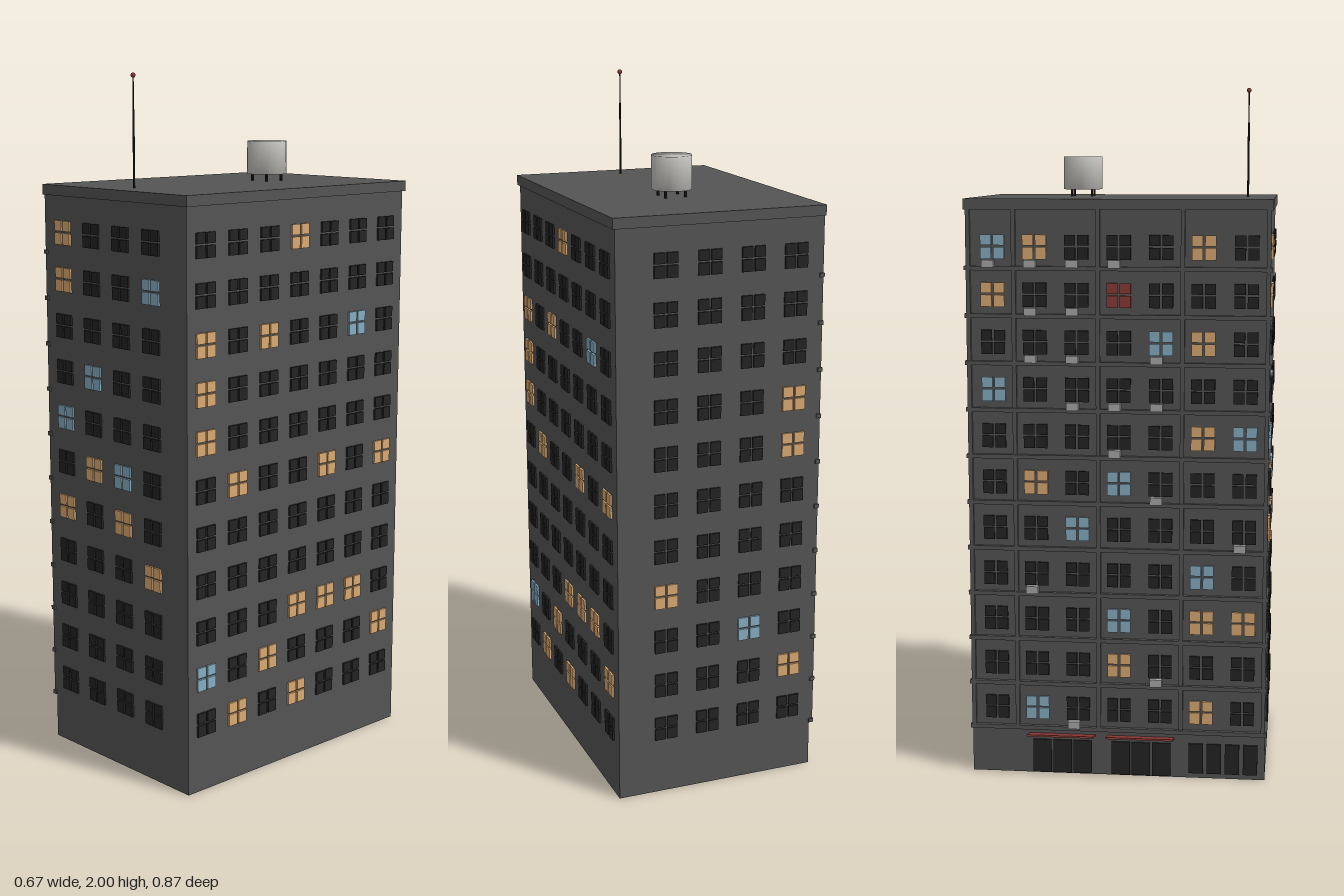
import * as THREE from 'three';
import { mergeGeometries, mergeVertices } from 'three/addons/utils/BufferGeometryUtils.js';

const material = (name, color) => {
  const m = new THREE.MeshStandardMaterial({ color });
  m.name = name;
  return m;
};

const ROWS = 11, TOP_ROW = 1.55, FLOOR = 0.135;
const BODY = { x0: -0.273, x1: 0.328, z: 0.431 };
const PILASTERS = [-0.425, -0.295, -0.055, 0.185, 0.425];
const rowY = r => TOP_ROW - r * FLOOR;

const box = (w, h, d, x, y, z) => new THREE.BoxGeometry(w, h, d).translate(x, y, z);

export function createModel() {
  const mats = {
    wall: material('wall grey', 0x545454),
    dark: material('dark glass', 0x232323),
    warm: material('warm lit glass', 0xd9a972),
    blue: material('blue lit glass', 0x86adc2),
    red: material('awning red', 0x8a3a36),
    tank: material('tank white', 0xc2c0bc),
    unit: material('unit grey', 0xa8a8a8),
    metal: material('black metal', 0x181818),
  };
  const model = new THREE.Group();
  model.name = 'apartmentBlock';

  const add = (name, geometry, mat, parent = model) => {
    const mesh = new THREE.Mesh(geometry, mat);
    mesh.name = name;
    parent.add(mesh);
    return mesh;
  };

  // Main block and roof slab
  const cx = (BODY.x0 + BODY.x1) / 2;
  add('building', box(BODY.x1 - BODY.x0, 1.66, BODY.z * 2, cx, 0.83, 0), mats.wall);
  add('roofSlab', box(0.617, 0.03, 0.874, 0.0265, 1.67, 0), mats.wall);

  // One wall of windows, seen in its own frame with the wall facing +z.
  // lit maps a glass colour to [row, column] pairs, counted from the top left.
  const windowWall = (name, angle, depth, cols, start, pitch, lit) => {
    const group = new THREE.Group();
    group.name = name;
    group.rotation.y = angle;
    model.add(group);
    const glass = new Map();
    for (const [key, list] of Object.entries(lit))
      for (const [r, c] of list) glass.set(r * cols + c, key);
    const panes = { dark: [], warm: [], blue: [], red: [] };
    for (let r = 0; r < ROWS; r++) {
      for (let c = 0; c < cols; c++) {
        const list = panes[glass.get(r * cols + c) ?? 'dark'];
        for (const side of [-1, 1]) {
          const x = start + c * pitch + side * 0.0185;
          list.push(box(0.031, 0.03, 0.009, x, rowY(r) + 0.0195, depth + 0.0015));
          list.push(box(0.031, 0.034, 0.009, x, rowY(r) - 0.0175, depth + 0.0015));
        }
      }
    }
    for (const [key, list] of Object.entries(panes))
      if (list.length) add(key + 'Windows', mergeGeometries(list), mats[key], group);
    return group;
  };

  windowWall('frontWindows', 0, BODY.z, 4, -0.199, 0.128, {
    warm: [[0, 0], [1, 0], [5, 1], [6, 0], [6, 2], [7, 3]],
    blue: [[1, 3], [3, 1], [4, 0], [5, 2]],
  });
  windowWall('leftWindows', Math.PI / 2, BODY.x1, 7, -0.365, 0.1203, {
    warm: [[0, 3], [2, 0], [2, 2], [3, 0], [4, 0], [5, 1], [5, 4], [5, 6],
      [8, 3], [8, 4], [8, 5], [9, 2], [9, 6], [10, 1], [10, 3]],
    blue: [[2, 5], [9, 0]],
  });
  windowWall('backWindows', Math.PI, BODY.z, 4, -0.185, 0.128, {
    warm: [[3, 3], [4, 3], [7, 0], [9, 3]],
    blue: [[8, 2]],
  });
  const facade = windowWall('entranceFacade', -Math.PI / 2, -BODY.x0, 7, -0.356, 0.12, {
    warm: [[0, 1], [0, 5], [1, 0], [2, 5], [4, 5], [5, 1], [8, 5], [8, 6], [9, 3], [10, 5]],
    blue: [[0, 0], [2, 4], [3, 0], [4, 6], [5, 3], [6, 2], [7, 5], [8, 3], [10, 1]],
    red: [[1, 3]],
  });

  // Entrance facade: floor ledges and pilasters
  const face = -BODY.x0;
  const trim = [];
  for (let r = 0; r < ROWS; r++)
    trim.push(box(0.872, 0.012, 0.014, 0, rowY(r) - 0.06, face + 0.005));
  trim.push(box(0.872, 0.03, 0.014, 0, 1.67, face + 0.006));
  for (const x of PILASTERS) trim.push(box(0.012, 1.53, 0.011, x, 0.9, face + 0.005));
  add('facadeTrim', mergeGeometries(trim), mats.wall, facade);

  // Air conditioners below some windows
  const units = [[0, 0], [0, 1], [0, 2], [0, 3], [1, 1], [1, 2], [2, 1], [2, 2], [2, 4],
    [3, 2], [3, 3], [3, 4], [4, 3], [5, 4], [6, 6], [7, 1], [9, 4], [10, 2]];
  add('airConditioners', mergeGeometries(units.map(([r, c]) =>
    box(0.035, 0.022, 0.02, -0.368 + c * 0.12, rowY(r) - 0.047, face + 0.008))), mats.unit, facade);

  // Ground floor doors, shop panels and awnings tilting up and outwards
  const doors = [];
  for (const centre of [-0.1635, 0.0685]) {
    for (let i = -1; i <= 1; i++)
      doors.push(box(0.054, 0.1, 0.008, centre + i * 0.06, 0.053, face + 0.001));
    const awning = add('awning', new THREE.BoxGeometry(0.195, 0.005, 0.066), mats.red, facade);
    awning.position.set(centre, 0.126, face + 0.0315);
    awning.rotation.x = -0.24;
  }
  for (let i = 0; i < 4; i++)
    doors.push(box(0.042, 0.09, 0.008, 0.23 + i * 0.053, 0.06, face + 0.001));
  add('groundFloorDoors', mergeGeometries(doors), mats.dark, facade);

  // Water tank with softly blended edges on short legs
  let tank = new THREE.CylinderGeometry(0.058, 0.058, 0.096, 24);
  tank.deleteAttribute('uv');
  tank.deleteAttribute('normal');
  tank = mergeVertices(tank);
  tank.computeVertexNormals();
  add('waterTank', tank, mats.tank).position.set(0.052, 1.754, -0.138);
  const legs = [];
  for (const sx of [-1, 1])
    for (const sz of [-1, 1])
      legs.push(box(0.006, 0.026, 0.006, 0.052 + sx * 0.03, 1.696, -0.138 + sz * 0.03));
  add('tankLegs', mergeGeometries(legs), mats.metal);

  // Antenna mast with a red beacon
  const mast = new THREE.Group();
  mast.name = 'antenna';
  mast.position.set(0.027, 0, 0.355);
  model.add(mast);
  add('lowerMast', new THREE.CylinderGeometry(0.003, 0.003, 0.22, 8), mats.metal, mast).position.y = 1.79;
  add('upperMast', new THREE.CylinderGeometry(0.0018, 0.0018, 0.1, 8), mats.metal, mast).position.y = 1.945;
  add('beacon', new THREE.SphereGeometry(0.007, 12, 8), mats.red, mast).position.y = 1.993;

  return model;
}
